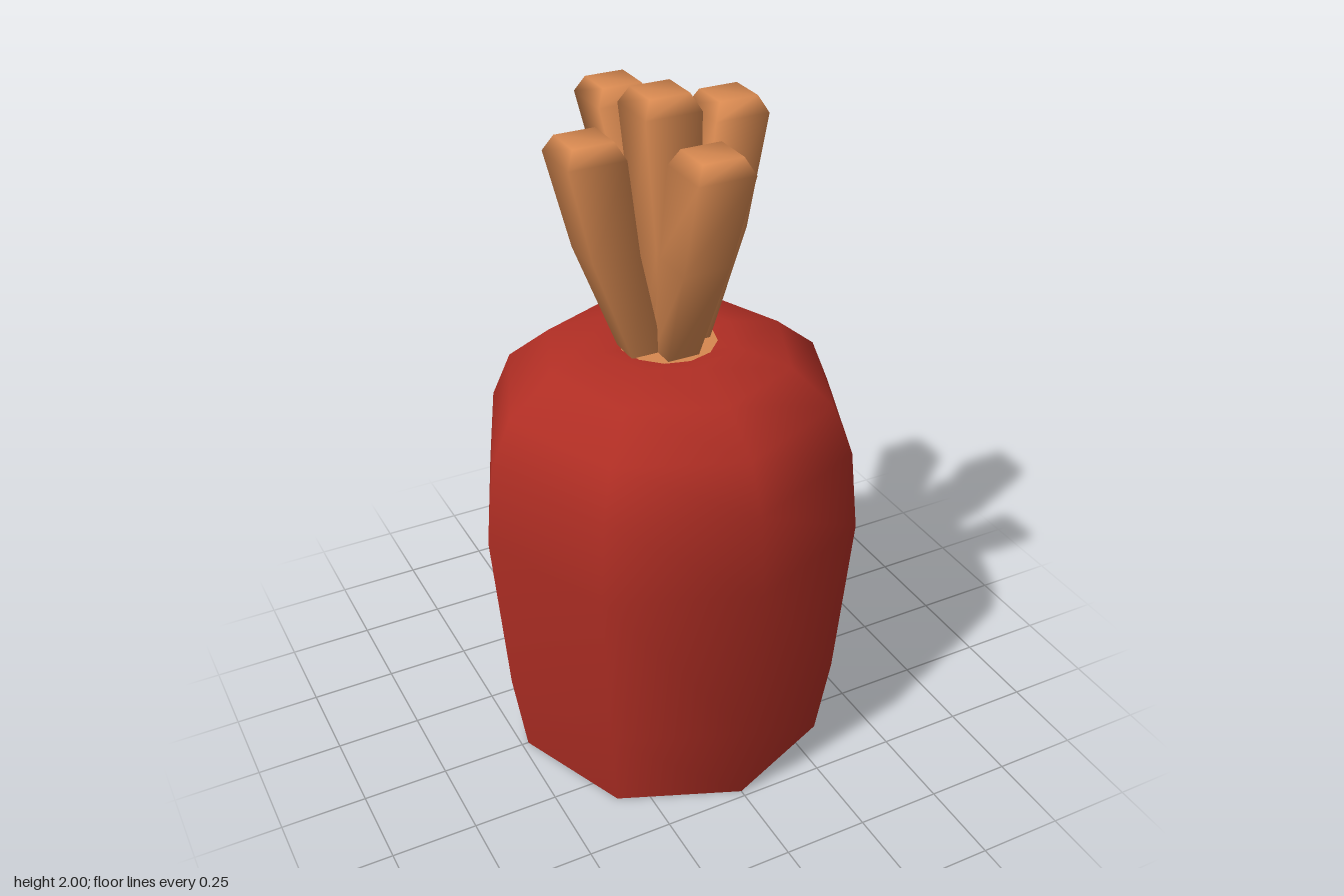
import * as THREE from 'three';

const red = new THREE.MeshStandardMaterial({ color: 0xb02e24 });
red.name = 'root red';
const orange = new THREE.MeshStandardMaterial({ color: 0xd68850 });
orange.name = 'stalk orange';

// Smooth square-section stalk lofted through rings of [x, y, z, width]
function stalkGeometry(rings) {
  const corners = [[1, 1], [1, -1], [-1, -1], [-1, 1]];
  const positions = [];
  const index = [];
  for (const [x, y, z, w] of rings) {
    for (const [cx, cz] of corners) positions.push(x + cx * w / 2, y, z + cz * w / 2);
  }
  for (let r = 0; r < rings.length - 1; r++) {
    for (let i = 0; i < 4; i++) {
      const a = r * 4 + i, b = r * 4 + (i + 1) % 4;
      index.push(a, b, b + 4, a, b + 4, a + 4);
    }
  }
  const t = (rings.length - 1) * 4;
  index.push(t, t + 1, t + 2, t, t + 2, t + 3, 0, 2, 1, 0, 3, 2);
  const g = new THREE.BufferGeometry();
  g.setAttribute('position', new THREE.Float32BufferAttribute(positions, 3));
  g.setIndex(index);
  g.computeVertexNormals();
  return g;
}

export function createModel() {
  const model = new THREE.Group();
  model.name = 'rootVegetable';

  const add = (name, geometry, material, y = 0) => {
    const mesh = new THREE.Mesh(geometry, material);
    mesh.name = name;
    mesh.position.y = y;
    model.add(mesh);
    return mesh;
  };

  // Eight-sided body with a shallow dip at the crown
  const profile = [
    [0.48, 0], [0.52, 0.26], [0.562, 0.78], [0.537, 1.02], [0.478, 1.16],
    [0.355, 1.26], [0.2, 1.297], [0.11, 1.283], [0, 1.27],
  ].map(([r, y]) => new THREE.Vector2(r, y));
  add('body', new THREE.LatheGeometry(profile, 8), red);

  // Flat cut underside
  add('underside', new THREE.CircleGeometry(0.48, 8).rotateX(Math.PI / 2), red);

  // Crown patch around the stalk bases
  add('crown', new THREE.CircleGeometry(0.14, 12).rotateX(-Math.PI / 2), orange, 1.29);

  // Stalks: [name, base x z, bend x z, tip x z, top height]
  const stalks = [
    ['centreStalk', 0, 0, 0, 0, -0.01, -0.022, 2.0],
    ['frontStalk', -0.01, 0.06, -0.01, 0.175, -0.005, 0.25, 1.925],
    ['backStalk', 0.015, -0.06, 0.015, -0.2, 0.01, -0.342, 1.925],
    ['rightStalk', -0.08, 0.01, -0.185, 0.01, -0.238, 0.008, 1.92],
    ['leftStalk', 0.055, 0, 0.155, -0.03, 0.24, -0.11, 1.925],
  ];
  for (const [name, bx, bz, mx, mz, tx, tz, top] of stalks) {
    add(name, stalkGeometry([
      [bx, 1.26, bz, 0.09],
      [mx, 1.6, mz, 0.135],
      [tx, top - 0.045, tz, 0.162],
      [tx, top, tz, 0.115],
    ]), orange);
  }

  return model;
}
